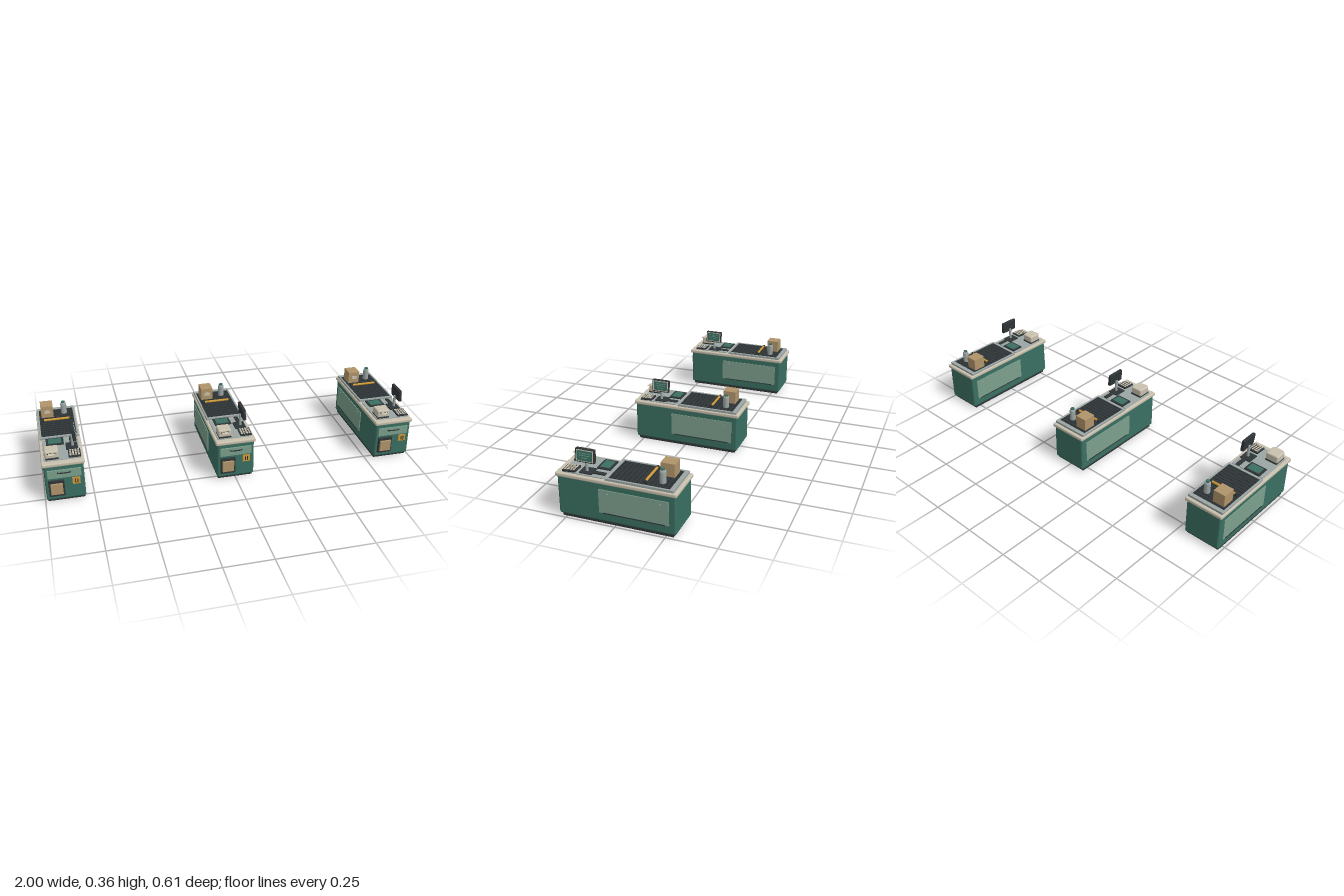
import * as THREE from 'three';
import { RoundedBoxGeometry } from 'three/addons/geometries/RoundedBoxGeometry.js';

const mat = (name, color) => {
  const m = new THREE.MeshStandardMaterial({ color });
  m.name = name;
  return m;
};
const green = mat('counter green', 0x3a6f61);
const sage = mat('sage panel', 0x7b9f8c);
const cream = mat('cream', 0xc9c1ae);
const charcoal = mat('charcoal', 0x2f3537);
const black = mat('black rubber', 0x1f2426);
const steel = mat('steel', 0x9ba6a4);
const tan = mat('cardboard', 0xb0946a);
const amber = mat('amber', 0xcf9a38);

function mesh(parent, name, geometry, material, x = 0, y = 0, z = 0) {
  const m = new THREE.Mesh(geometry, material);
  m.name = name;
  m.position.set(x, y, z);
  parent.add(m);
  return m;
}

// Box given by its extents on each axis, optionally rounded
function box(parent, name, material, [x0, x1], [y0, y1], [z0, z1], r = 0) {
  const s = [x1 - x0, y1 - y0, z1 - z0];
  const g = r ? new RoundedBoxGeometry(...s, 2, r) : new THREE.BoxGeometry(...s);
  return mesh(parent, name, g, material, (x0 + x1) / 2, (y0 + y1) / 2, (z0 + z1) / 2);
}

function group(parent, name, x = 0, y = 0, z = 0) {
  const g = new THREE.Group();
  g.name = name;
  g.position.set(x, y, z);
  parent.add(g);
  return g;
}

function buildCabinet(p) {
  box(p, 'plinth', charcoal, [-0.094, 0.094], [0, 0.02], [-0.287, 0.273], 0.004);
  box(p, 'cabinetBody', green, [-0.1, 0.1], [0.014, 0.216], [-0.3, 0.287], 0.01);
  box(p, 'countertop', cream, [-0.1075, 0.1075], [0.21, 0.231], [-0.307, 0.295], 0.007);

  // Side panels with a dark lower trim and two screws
  for (const s of [-1, 1]) {
    const side = (a, b) => (s > 0 ? [a, b] : [-b, -a]);
    box(p, 'sidePanel', sage, side(0.098, 0.104), [0.061, 0.182], [-0.268, 0.077]);
    box(p, 'sidePanelTrim', charcoal, side(0.103, 0.107), [0.06, 0.064], [-0.25, 0.057]);
    for (const z of [0.031, -0.225]) {
      const screw = mesh(p, 'screw', new THREE.CylinderGeometry(0.004, 0.004, 0.003, 12), steel, s * 0.105, 0.163, z);
      screw.rotation.z = Math.PI / 2;
    }
  }

  // Drawer front with an arched pull
  box(p, 'drawerFront', sage, [-0.085, 0.085], [0.142, 0.19], [0.284, 0.292], 0.002);
  const pull = new THREE.CatmullRomCurve3([
    new THREE.Vector3(-0.032, 0.174, 0.291), new THREE.Vector3(-0.03, 0.175, 0.297),
    new THREE.Vector3(0.03, 0.175, 0.297), new THREE.Vector3(0.032, 0.174, 0.291),
  ]);
  mesh(p, 'drawerPull', new THREE.TubeGeometry(pull, 16, 0.0035, 6), charcoal);

  // Bag holder with a stack of paper bags
  box(p, 'bagHolder', charcoal, [-0.084, -0.004], [0.042, 0.132], [0.286, 0.298], 0.003);
  box(p, 'paperBags', tan, [-0.075, -0.013], [0.055, 0.117], [0.296, 0.307], 0.002);
  box(p, 'bagHolderLip', charcoal, [-0.08, -0.008], [0.044, 0.055], [0.296, 0.302]);

  // Amber notice plate with two dark marks
  box(p, 'noticePlate', amber, [0.037, 0.077], [0.098, 0.136], [0.286, 0.292]);
  for (const x of [0.05, 0.061]) {
    box(p, 'noticeMark', charcoal, [x, x + 0.005], [0.105, 0.128], [0.291, 0.294]);
  }
}

function buildConveyor(p) {
  const g = group(p, 'conveyor');
  for (const x of [-0.096, 0.096]) {
    box(g, 'sideRail', steel, [x - 0.005, x + 0.005], [0.229, 0.244], [-0.291, 0.043], 0.003);
  }
  box(g, 'rearRail', steel, [-0.095, 0.095], [0.229, 0.243], [-0.291, -0.27]);
  box(g, 'frontRail', steel, [-0.095, 0.095], [0.229, 0.243], [0.03, 0.043]);
  box(g, 'belt', charcoal, [-0.092, 0.092], [0.229, 0.241], [-0.271, 0.031]);
  for (let i = 0; i < 14; i++) {
    const z = -0.26 + i * 0.0215;
    box(g, 'beltGroove', black, [-0.09, 0.09], [0.2405, 0.2415], [z, z + 0.003]);
  }

  // Divider bar lying across the belt
  const bar = mesh(g, 'dividerBar', new THREE.CylinderGeometry(0.0065, 0.0065, 0.14, 8), amber, 0, 0.248, -0.143);
  bar.rotation.z = Math.PI / 2;
  for (const s of [-1, 1]) {
    const cap = mesh(g, 'dividerCap', new THREE.CylinderGeometry(0.008, 0.008, 0.012, 10), charcoal, s * 0.074, 0.248, -0.143);
    cap.rotation.z = Math.PI / 2;
  }
}

function buildGoods(p) {
  box(p, 'cardboardBox', tan, [-0.08, -0.014], [0.241, 0.31], [-0.252, -0.182], 0.002);
  box(p, 'boxLabel', cream, [-0.06, -0.03], [0.267, 0.285], [-0.183, -0.179]);

  // Bottle with a shouldered body and green cap
  const profile = [[0, 0], [0.015, 0], [0.016, 0.003], [0.016, 0.055], [0.014, 0.062], [0.01, 0.065], [0, 0.065]];
  mesh(p, 'bottle', new THREE.LatheGeometry(profile.map(([x, y]) => new THREE.Vector2(x, y)), 20), steel, 0.044, 0.242, -0.218);
  mesh(p, 'bottleCap', new THREE.CylinderGeometry(0.01, 0.01, 0.009, 16), green, 0.044, 0.309, -0.218);
}

function buildTill(p) {
  box(p, 'workPlate', steel, [-0.092, 0.092], [0.229, 0.236], [0.055, 0.264], 0.002);

  // Flat scanner with green glass
  box(p, 'scannerFrame', charcoal, [-0.072, 0.018], [0.235, 0.243], [0.053, 0.122], 0.002);
  box(p, 'scannerGlass', green, [-0.061, 0.007], [0.242, 0.2445], [0.063, 0.112]);

  // Monitor on a stand, screen facing the shopper's side
  box(p, 'monitorBase', charcoal, [0.025, 0.085], [0.235, 0.243], [0.115, 0.181], 0.003);
  mesh(p, 'monitorPole', new THREE.CylinderGeometry(0.0075, 0.0075, 0.07, 14), steel, 0.06, 0.272, 0.15);
  const mon = group(p, 'monitor', 0.07, 0.324, 0.149);
  mon.rotation.z = 0.1;
  box(mon, 'monitorCase', charcoal, [-0.01, 0.008], [-0.034, 0.034], [-0.049, 0.049], 0.005);
  box(mon, 'monitorBezel', cream, [0.007, 0.0095], [-0.028, 0.028], [-0.043, 0.043]);
  box(mon, 'monitorScreen', green, [0.009, 0.011], [-0.024, 0.024], [-0.038, 0.038]);
  [[0.012, 0.029], [0.002, 0.029], [-0.01, 0.017]].forEach(([y, w]) =>
    box(mon, 'screenLine', sage, [0.0105, 0.012], [y - 0.0012, y + 0.0012], [-w, w]));

  // Hand scanner beside the stand
  box(p, 'handScanner', charcoal, [0.048, 0.07], [0.235, 0.243], [0.055, 0.12], 0.003);

  // Receipt printer with its slip
  box(p, 'printerBase', charcoal, [-0.084, -0.018], [0.235, 0.243], [0.188, 0.26]);
  box(p, 'receiptPrinter', cream, [-0.086, -0.016], [0.24, 0.282], [0.19, 0.258], 0.008);
  box(p, 'printerSlot', charcoal, [-0.072, -0.03], [0.267, 0.272], [0.256, 0.2595]);
  const slip = box(p, 'receiptSlip', cream, [-0.068, -0.034], [0.2685, 0.2705], [0.25, 0.275]);
  slip.rotation.x = 0.2;

  // Keypad, sloping towards the front
  const pad = group(p, 'keypad', 0.063, 0.242, 0.228);
  pad.rotation.x = 0.06;
  box(pad, 'keypadBody', charcoal, [-0.031, 0.031], [-0.006, 0.004], [-0.034, 0.034], 0.003);
  for (let r = 0; r < 4; r++) {
    for (let c = 0; c < 4; c++) {
      const x = -0.0205 + c * 0.0137, z = -0.022 + r * 0.0147;
      box(pad, 'key', cream, [x - 0.0045, x + 0.0045], [0.003, 0.007], [z - 0.0045, z + 0.0045]);
    }
  }
}

export function createModel() {
  const model = new THREE.Group();
  model.name = 'checkoutRow';
  for (const x of [-0.8925, 0, 0.8925]) {
    const counter = group(model, 'checkoutCounter', x);
    buildCabinet(counter);
    buildConveyor(counter);
    buildGoods(counter);
    buildTill(counter);
  }
  return model;
}
